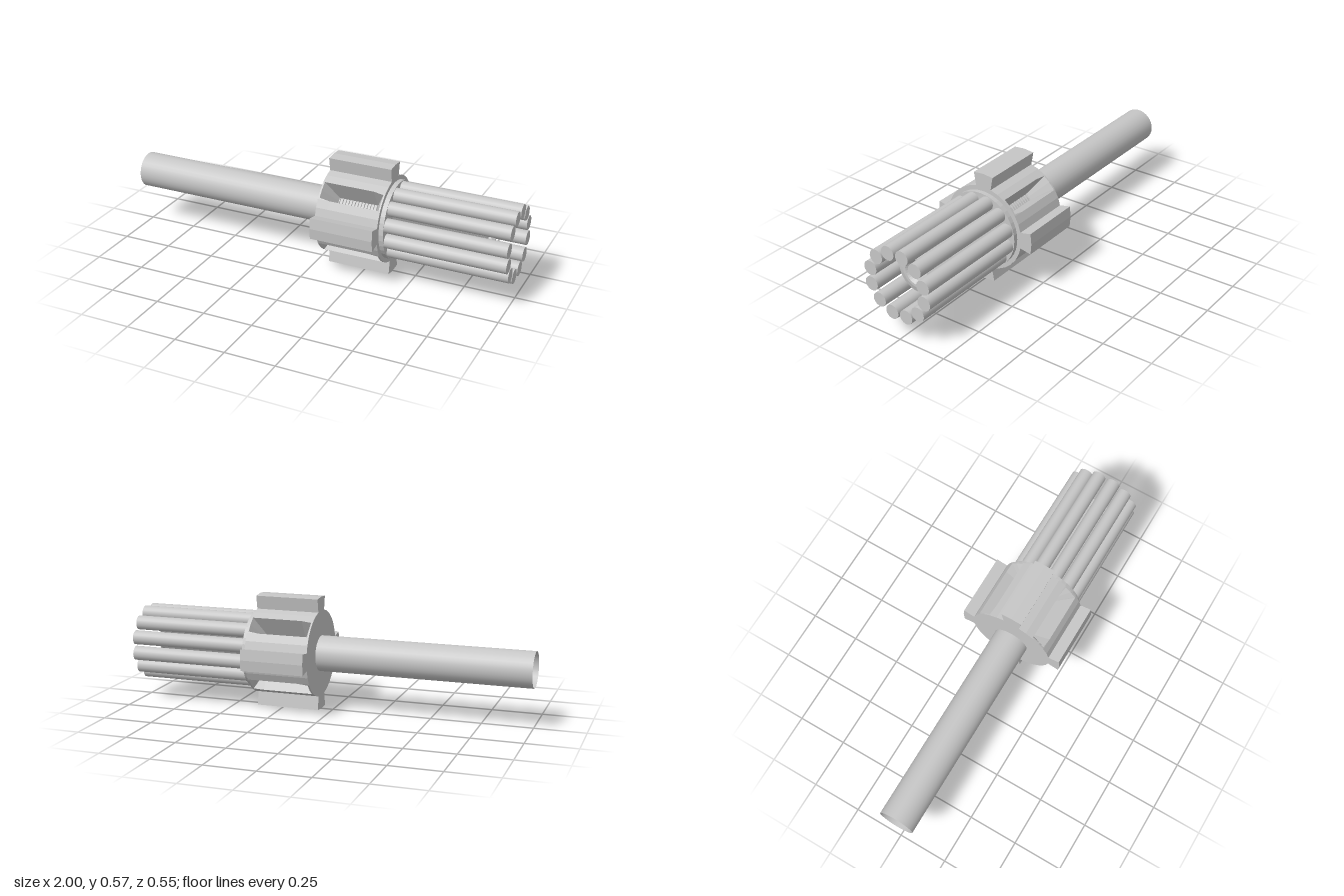
import * as THREE from 'three';

const R = 0.215;          // hub radius
const BACK = 0.06, FRONT = 0.38;

// Un-share vertices so every face gets its own normal
function faceted(g) {
  const f = g.index ? g.toNonIndexed() : g;
  f.computeVertexNormals();
  return f;
}

// Hub outline at one station; depth 0..1 sinks the four diagonal pockets
function hubOutline(depth) {
  const pts = [];
  const floor = THREE.MathUtils.lerp(R, 0.1, depth);
  for (let q = 0; q < 4; q++) {
    const a = q * Math.PI / 2;
    const tip = q % 2 ? 0.283 : 0.273;   // side keys are slightly shorter
    const put = (r, t) => pts.push(new THREE.Vector2(
      r * Math.cos(a) - t * Math.sin(a), r * Math.sin(a) + t * Math.cos(a)));
    const polar = (r, deg) => {
      const d = deg * Math.PI / 180;
      put(r * Math.cos(d), r * Math.sin(d));
    };
    // Dovetail key
    put(0.211, -0.042);
    put(tip - 0.005, -0.054);
    put(tip, 0);
    put(tip - 0.005, 0.054);
    put(0.211, 0.042);
    // Rim and pocket
    polar(R, 22);
    polar(R, 33);
    polar(floor, 35);
    polar(floor, 45);
    polar(floor, 55);
    polar(R, 57);
    polar(R, 68);
  }
  return pts;
}

// Hub wall lofted through stations along the axis
function hubWall() {
  const stations = [[BACK, 0], [0.068, 0], [0.12, 1], [0.32, 1], [0.372, 0], [FRONT, 0]];
  const pos = [], idx = [];
  let n = 0;
  for (const [z, depth] of stations) {
    const ring = hubOutline(depth);
    n = ring.length;
    ring.forEach(p => pos.push(p.x, p.y, z));
  }
  for (let s = 0; s < stations.length - 1; s++) {
    for (let i = 0; i < n; i++) {
      const j = (i + 1) % n;
      const a = s * n + i, b = s * n + j;
      idx.push(a, b, b + n, a, b + n, a + n);
    }
  }
  const g = new THREE.BufferGeometry();
  g.setAttribute('position', new THREE.Float32BufferAttribute(pos, 3));
  g.setIndex(idx);
  return faceted(g);
}

// Flat hub end with a round bore
function hubEnd() {
  const shape = new THREE.Shape(hubOutline(0));
  const bore = new THREE.Path();
  bore.absarc(0, 0, 0.086, 0, Math.PI * 2, true);
  shape.holes.push(bore);
  return new THREE.ShapeGeometry(shape, 24);
}

// Lathe turned so its axis runs along z
function turned(profile, sides) {
  const g = new THREE.LatheGeometry(profile.map(([r, z]) => new THREE.Vector2(r, z)), sides);
  return g.rotateX(Math.PI / 2);
}

export function createModel() {
  const model = new THREE.Group();
  const body = new THREE.Group();   // built along z, then laid along x
  body.name = 'splinedShaftAssembly';
  const grey = new THREE.MeshStandardMaterial({ color: 0xc6c6c6, side: THREE.DoubleSide });
  grey.name = 'light grey';
  const add = (name, geometry) => {
    const mesh = new THREE.Mesh(geometry, grey);
    mesh.name = name;
    body.add(mesh);
    return mesh;
  };

  // Open rear tube
  const tube = new THREE.CylinderGeometry(0.0885, 0.0885, 1.06, 32, 1, true);
  add('rearTube', tube.rotateX(Math.PI / 2).translate(0, 0, -0.47));

  // Keyed hub
  add('hubWall', hubWall());
  add('hubFrontFace', hubEnd().translate(0, 0, FRONT));
  add('hubRearFace', hubEnd().rotateY(Math.PI).translate(0, 0, BACK));

  // Collar that carries the rods
  add('rodCollar', faceted(turned([[0.193, FRONT], [0.193, 0.403], [0.09, 0.403]], 40)));

  // Hollow threaded core
  const thread = [[0.05, 0.065], [0.08, 0.065]];
  const turns = 50, pitch = 0.8 / turns;
  for (let i = 0; i < turns; i++) {
    const z = 0.07 + i * pitch;
    thread.push([0.08, z], [0.105, z + pitch / 2]);
  }
  thread.push([0.078, 0.87], [0.064, 0.87], [0.05, 0.855], [0.05, 0.065]);
  add('threadedCore', faceted(turned(thread, 32)));

  // Ring of twelve rods
  const rodLength = 1 - 0.39;
  for (let i = 0; i < 12; i++) {
    const a = (16.5 + i * 30) * Math.PI / 180;
    const rod = new THREE.CylinderGeometry(0.0355, 0.0355, rodLength, 24);
    rod.rotateX(Math.PI / 2);
    add('rod' + (i + 1), rod).position.set(
      0.155 * Math.cos(a), 0.155 * Math.sin(a), 1 - rodLength / 2);
  }

  body.rotation.y = Math.PI / 2;
  body.position.y = 0.284;
  model.add(body);
  return model;
}
